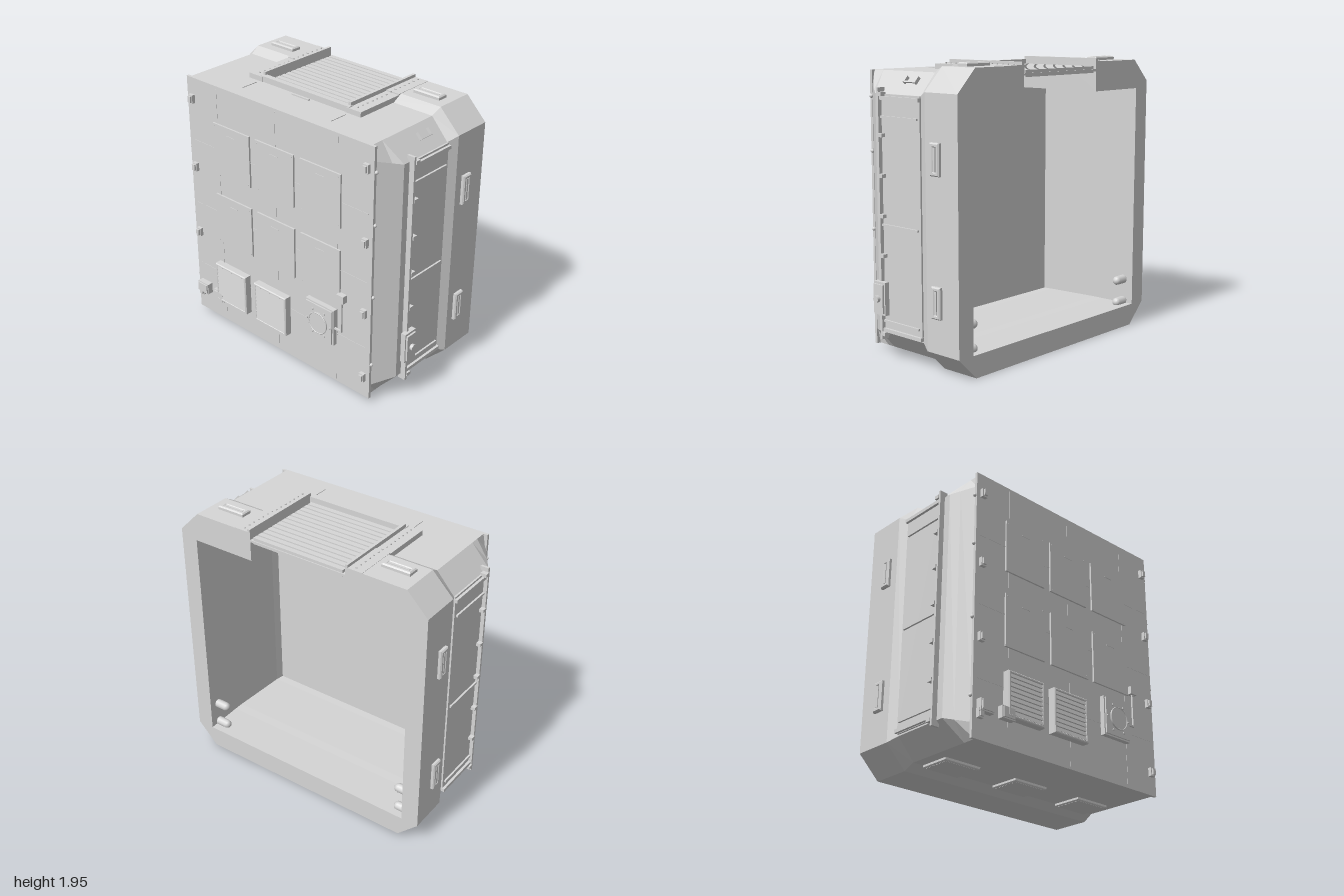
import * as THREE from 'three';

const gray = new THREE.MeshStandardMaterial({ color: 0xd6d6d6 });
gray.name = 'light panel gray';

function add(parent, name, geo, x = 0, y = 0, z = 0) {
  const m = new THREE.Mesh(geo, gray);
  m.name = name;
  m.position.set(x, y, z);
  parent.add(m);
  return m;
}
// box given by its limits on each axis
function box(parent, name, x0, x1, y0, y1, z0, z1) {
  return add(parent, name, new THREE.BoxGeometry(x1 - x0, y1 - y0, z1 - z0),
    (x0 + x1) / 2, (y0 + y1) / 2, (z0 + z1) / 2);
}
// flat-shaded skin over rings of [x, y, z] points
function loft(rings) {
  const p = [];
  for (let k = 0; k < rings.length - 1; k++) {
    const A = rings[k], B = rings[k + 1], n = A.length;
    for (let i = 0; i < n; i++) {
      const j = (i + 1) % n;
      p.push(...A[i], ...A[j], ...B[j], ...A[i], ...B[j], ...B[i]);
    }
  }
  const g = new THREE.BufferGeometry();
  g.setAttribute('position', new THREE.Float32BufferAttribute(p, 3));
  g.computeVertexNormals();
  return g;
}
// rectangle outline, optionally used as a hole
function rect(P, w, h) {
  const s = new P();
  s.moveTo(-w / 2, -h / 2); s.lineTo(w / 2, -h / 2);
  s.lineTo(w / 2, h / 2); s.lineTo(-w / 2, h / 2); s.closePath();
  return s;
}
// rectangular frame facing +z, standing on z = 0
function frameGeo(w, h, d, t, bevel = 0.008) {
  const s = rect(THREE.Shape, w - 2 * bevel, h - 2 * bevel);
  s.holes.push(rect(THREE.Path, w - 2 * t, h - 2 * t));
  return new THREE.ExtrudeGeometry(s, { depth: d - bevel, bevelSize: bevel, bevelThickness: bevel, bevelSegments: 1 });
}
// recessed grab handle, facing +z, long in y
function handle(name, parent) {
  const g = new THREE.Group();
  g.name = name;
  add(g, 'handleFrame', frameGeo(0.078, 0.205, 0.03, 0.022));
  box(g, 'handleBase', -0.03, 0.03, -0.09, 0.09, 0, 0.015);
  box(g, 'handleBar', -0.008, 0.008, -0.075, 0.075, 0.01, 0.028);
  parent.add(g);
  return g;
}
// louvred vent facing +z
function vent(name, parent, w, h, d, n) {
  const g = new THREE.Group();
  g.name = name;
  add(g, 'ventFrame', frameGeo(w, h, d, 0.014, 0.006));
  box(g, 'ventBack', -w / 2 + 0.01, w / 2 - 0.01, -h / 2 + 0.01, h / 2 - 0.01, 0, d * 0.6);
  const p = (h - 0.03) / n;
  for (let i = 0; i < n; i++) {
    const s = box(g, 'louvre', -w / 2 + 0.012, w / 2 - 0.012, -p * 0.42, p * 0.42, -0.005, 0.005);
    s.position.set(0, -h / 2 + 0.015 + p * (i + 0.5), d * 0.85);
    s.rotation.x = -0.15;
  }
  parent.add(g);
  return g;
}

const NOTCH = 0.365;
// one hull section: outer octagon and inner rectangle, both split at the roof notch
function section(z, w, t, c, y0, y1, iw, iy0, iy1) {
  const n = NOTCH;
  const outer = [[-n, y1], [-t, y1], [-w, y1 - c], [-w, y0 + c], [-t, y0], [t, y0], [w, y0 + c], [w, y1 - c], [t, y1], [n, y1]];
  const inner = [[n, iy1], [iw, iy1], [iw, iy0], [-iw, iy0], [-iw, iy1], [-n, iy1]];
  const at = (a) => a.map(([x, y]) => [x, y, z]);
  return { outer: at(outer), inner: at(inner) };
}

export function createModel() {
  const root = new THREE.Group();
  root.name = 'equipmentModule';
  const b = new THREE.Group();
  b.name = 'body';
  b.position.x = -0.01;
  root.add(b);

  // hollow hull, open at the back, with a slot in the roof
  const S = [
    section(-0.5, 0.955, 0.805, 0.15, 0, 1.92, 0.83, 0.15, 1.72),
    section(-0.22, 0.955, 0.805, 0.15, 0, 1.92, 0.845, 0.14, 1.72),
    section(-0.15, 0.92, 0.795, 0.14, 0.04, 1.88, 0.845, 0.14, 1.72),
    section(0.27, 0.92, 0.795, 0.14, 0.04, 1.88, 0.835, 0.13, 1.72),
    section(0.33, 0.878, 0.795, 0.124, 0.04, 1.88, 0.825, 0.13, 1.72),
    section(0.42, 0.815, 0.795, 0.1, 0.04, 1.88, 0.77, 0.13, 1.72),
  ];
  add(b, 'rearHull', loft(S.slice(0, 5).map((s) => [...s.outer, ...s.inner])));
  add(b, 'frontHull', loft(S.slice(4).map((s) => s.outer)));
  const rim = new THREE.Shape([...S[0].outer, ...S[0].inner].map(([x, y]) => new THREE.Vector2(x, y)));
  add(b, 'rearRim', new THREE.ShapeGeometry(rim).rotateY(Math.PI), 0, 0, -0.5);
  box(b, 'innerWall', -0.83, 0.83, 0.12, 1.74, 0.33, 0.345);
  box(b, 'slotEnd', -NOTCH, NOTCH, 1.7, 1.87, 0.33, 0.345);
  box(b, 'roofCover', -NOTCH, NOTCH, 1.86, 1.88, 0.125, 0.345);
  box(b, 'frontPlate', -0.825, 0.825, 0.04, 1.88, 0.41, 0.43);

  // roof shutter, its rails and roller
  box(b, 'shutterSheet', -NOTCH, NOTCH, 1.855, 1.87, -0.5, 0.13);
  for (let i = 0; i < 13; i++) {
    const z = -0.475 + i * 0.0475;
    box(b, 'shutterSlat', -0.345, 0.345, 1.845, 1.89, z - 0.018, z + 0.018);
  }
  box(b, 'shutterFrontBar', -0.39, 0.39, 1.86, 1.92, 0.125, 0.165);
  add(b, 'shutterRoller', new THREE.CylinderGeometry(0.06, 0.06, 0.73, 24).rotateZ(Math.PI / 2), 0, 1.78, 0.25);
  box(b, 'roofTab', -0.075, 0.075, 1.875, 1.888, 0.18, 0.195);
  for (const s of [-1, 1]) {
    const sx = (name, x0, x1, ...r) => box(b, name, Math.min(s * x0, s * x1), Math.max(s * x0, s * x1), ...r);
    sx('railBase', 0.365, 0.49, 1.87, 1.915, -0.24, 0.17);
    sx('railRear', 0.365, 0.49, 1.9, 1.922, -0.5, -0.2);
    sx('railFin', 0.365, 0.385, 1.87, 1.942, -0.5, 0.14);
    sx('roofSeam', 0.389, 0.395, 1.875, 1.884, 0.2, 0.33);
    for (let i = 0; i < 14; i++)
      add(b, 'railRivet', new THREE.CylinderGeometry(0.006, 0.006, 0.01, 6), s * 0.43, i < 7 ? 1.925 : 1.918, -0.47 + i * 0.046);

    // grab handles on roof and sides
    const top = handle('roofHandle', b);
    top.rotation.set(-Math.PI / 2, 0, Math.PI / 2);
    top.position.set(s * 0.637, 1.915, -0.328);
    for (const y of [0.48, 1.37]) {
      const h = handle('sideHandle', b);
      h.rotation.y = s * Math.PI / 2;
      h.position.set(s * 0.95, y, -0.318);
    }

    // side panel with ribs, edge fin and latches
    sx('sidePanel', 0.91, 0.932, 0.19, 1.74, -0.15, 0.2);
    for (const y of [0.205, 1.715]) sx('panelEndBar', 0.91, 0.95, y - 0.012, y + 0.012, -0.155, 0.2);
    for (const y of [0.265, 0.9, 1.595]) sx('panelRib', 0.92, 0.945, y - 0.007, y + 0.007, -0.13, 0.2);
    sx('edgeFin', 0.9, 0.957, 0.14, 1.78, 0.203, 0.22);
    for (const y of [0.18, 0.44, 0.7, 0.96, 1.22, 1.48, 1.74])
      sx('finLatch', 0.92, 0.963, y - 0.012, y + 0.012, 0.17, 0.205);

    // front plate clips and edge pins
    for (const y of [0.2, 0.7, 1.22, 1.73]) {
      sx('frontClip', 0.755, 0.795, y - 0.03, y + 0.03, 0.42, 0.455);
      sx('clipButton', 0.762, 0.788, y - 0.022, y + 0.022, 0.45, 0.468);
    }
    for (const y of [0.31, 0.83, 1.35, 1.71])
      add(b, 'edgePin', new THREE.SphereGeometry(0.013, 10, 8), s * 0.828, y, 0.415);

    // inner pegs near the floor
    for (const y of [0.165, 0.325])
      add(b, 'innerPeg', new THREE.CapsuleGeometry(0.032, 0.07, 4, 10).rotateZ(Math.PI / 2), s * 0.79, y, -0.42);
  }

  // front cover panels with pull tabs and corner screws
  for (const x of [-0.4125, -0.0125, 0.3875])
    for (const y of [0.8925, 1.4275]) {
      box(root, 'coverPanel', x - 0.1725, x + 0.1725, y - 0.1875, y + 0.1875, 0.42, 0.443);
      box(root, 'panelTab', x - 0.035, x + 0.035, y + 0.125, y + 0.13, 0.44, 0.446);
      for (const i of [-1, 1]) for (const j of [-1, 1])
        add(root, 'panelScrew', new THREE.CylinderGeometry(0.005, 0.005, 0.006, 6).rotateX(Math.PI / 2), x + i * 0.155, y + j * 0.17, 0.442);
    }
  for (const x of [-0.55, -0.01, 0.53]) box(root, 'verticalSeam', x - 0.003, x + 0.003, 0.06, 1.86, 0.425, 0.432);
  for (const y of [0.43, 0.93, 1.42]) box(root, 'crossSeam', -0.8, 0.78, y - 0.003, y + 0.003, 0.425, 0.432);

  // front vents and underside vents
  for (const x of [-0.438, -0.048])
    vent('frontVent', root, 0.305, 0.305, 0.055, 9).position.set(x, 0.378, 0.428);
  for (const x of [-0.58, 0, 0.58]) {
    const v = vent('undersideVent', b, 0.28, 0.22, 0.022, 6);
    v.rotation.x = Math.PI / 2;
    v.position.set(x, 0.042, -0.04);
  }

  // fan housing
  box(root, 'fanHousing', 0.28, 0.53, 0.345, 0.62, 0.42, 0.465);
  box(root, 'fanFace', 0.29, 0.52, 0.355, 0.61, 0.46, 0.475);
  add(root, 'fanRing', new THREE.TorusGeometry(0.078, 0.004, 8, 32), 0.405, 0.48, 0.485);
  add(root, 'fanDisc', new THREE.CylinderGeometry(0.078, 0.078, 0.014, 32).rotateX(Math.PI / 2), 0.405, 0.48, 0.478);
  for (let i = 0; i < 6; i++) {
    const a = i * Math.PI / 3;
    add(root, 'fanBolt', new THREE.CylinderGeometry(0.008, 0.008, 0.014, 8).rotateX(Math.PI / 2),
      0.405 + 0.102 * Math.cos(a), 0.48 + 0.102 * Math.sin(a), 0.477);
  }

  // junction boxes and conduit
  box(root, 'junctionBox', 0.555, 0.615, 0.712, 0.767, 0.425, 0.47);
  box(root, 'conduitDrop', 0.58, 0.592, 0.475, 0.72, 0.445, 0.458);
  box(root, 'conduitRun', 0.525, 0.592, 0.475, 0.487, 0.445, 0.458);
  for (const x of [-0.75, -0.58]) {
    box(root, 'cornerBox', x - 0.052, x + 0.052, 0.21, 0.29, 0.425, 0.472);
    box(root, 'cornerBoxLid', x - 0.045, x + 0.045, 0.217, 0.283, 0.47, 0.482);
  }

  // lock box with knob on the left side
  box(root, 'lockBox', 0.93, 0.965, 0.31, 0.53, 0.15, 0.257);
  box(root, 'lockBoxFace', 0.96, 0.978, 0.325, 0.515, 0.16, 0.247);
  add(root, 'lockKnob', new THREE.CylinderGeometry(0.023, 0.023, 0.03, 16).rotateZ(Math.PI / 2), 0.985, 0.42, 0.204);

  // small wire bracket on the upper left chamfer
  const br = new THREE.Group();
  br.name = 'chamferBracket';
  br.position.set(0.842, 1.82, 0);
  br.rotation.z = -0.84;
  box(br, 'bracketBar', 0.01, 0.02, 0.01, 0.02, -0.05, 0.05);
  for (const z of [-0.05, 0.05]) box(br, 'bracketLeg', -0.03, 0.02, -0.02, 0.02, z - 0.005, z + 0.005);
  root.add(br);
  return root;
}
